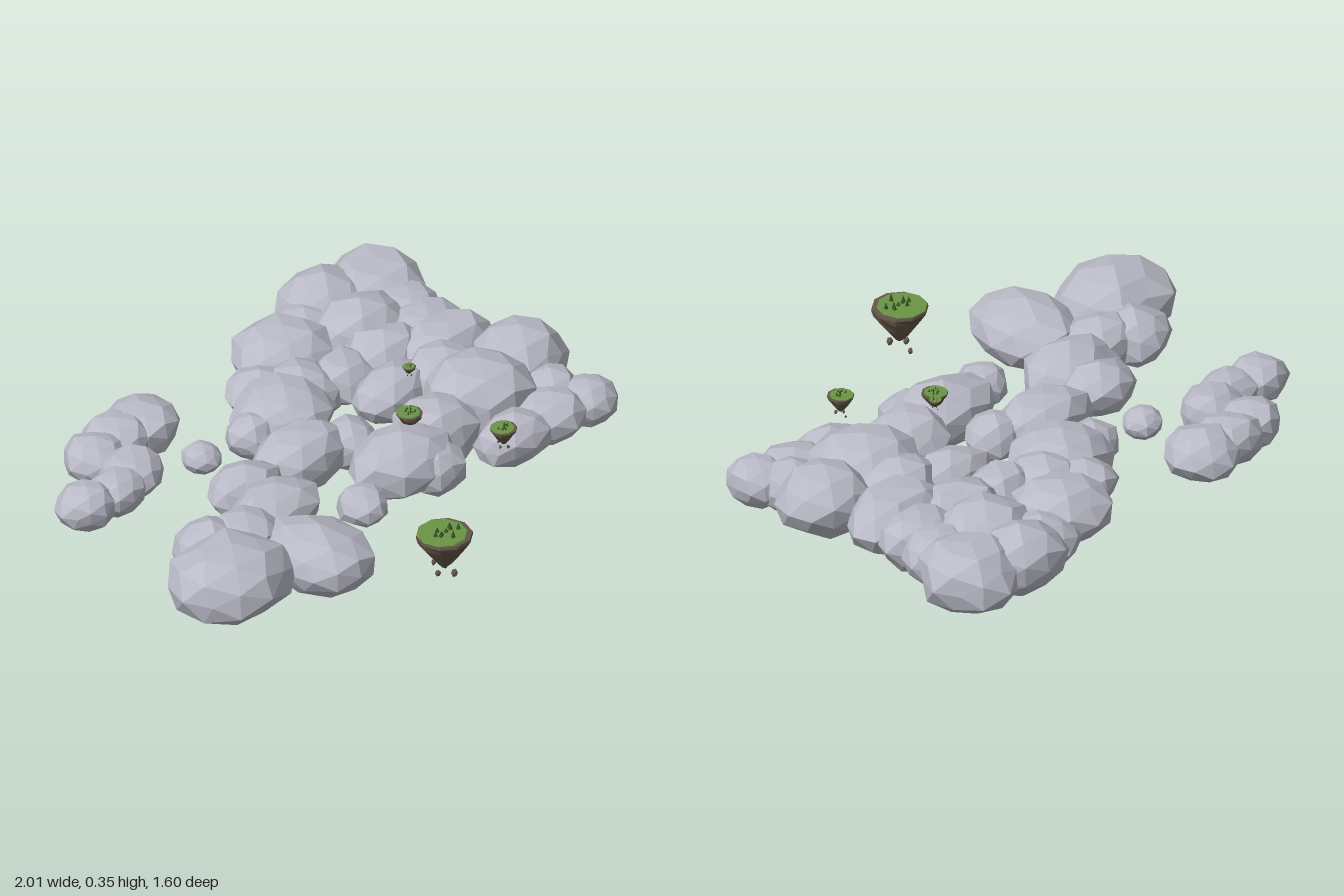
import * as THREE from 'three';

const mat = (name, color) => {
  const m = new THREE.MeshStandardMaterial({ color, flatShading: true });
  m.name = name;
  return m;
};

// Repeatable noise in -1..1
const noise = (a, b, c, s) => {
  const v = Math.sin(a * 12.99 + b * 78.23 + c * 37.72 + s * 4.17) * 43758.5453;
  return (v - Math.floor(v)) * 2 - 1;
};

// Faceted ball whose corners are pushed in or out a little
function lump(detail, amount, seed) {
  const g = new THREE.IcosahedronGeometry(1, detail);
  const p = g.attributes.position;
  const v = new THREE.Vector3();
  const q = (n) => Math.round(n * 50);
  for (let i = 0; i < p.count; i++) {
    v.fromBufferAttribute(p, i);
    v.multiplyScalar(1 + amount * noise(q(v.x), q(v.y), q(v.z), seed));
    p.setXYZ(i, v.x, v.y, v.z);
  }
  g.computeVertexNormals();
  return g;
}

// Puffs of each cloud: x, y, z, half width, half height, half depth
const CLOUDS = {
  westCloud: [
    [-0.78, 0.165, 0.31, 0.22, 0.135, 0.19], [-0.46, 0.145, 0.40, 0.165, 0.115, 0.215],
    [-0.68, 0.15, 0.12, 0.13, 0.1, 0.125], [-0.37, 0.15, 0.11, 0.19, 0.105, 0.125],
    [-0.35, 0.15, -0.05, 0.145, 0.095, 0.105], [-0.56, 0.15, 0.16, 0.14, 0.1, 0.12],
  ],
  middleCloud: [
    [-0.07, 0.145, -0.07, 0.19, 0.11, 0.13], [0.11, 0.14, -0.02, 0.105, 0.085, 0.1],
    [-0.09, 0.14, -0.28, 0.09, 0.075, 0.09], [0.07, 0.15, -0.29, 0.18, 0.115, 0.165],
    [0.12, 0.14, -0.45, 0.12, 0.085, 0.105], [0.21, 0.14, -0.35, 0.14, 0.1, 0.14],
    [-0.12, 0.13, 0.27, 0.09, 0.07, 0.09], [0.13, 0.155, 0.2, 0.2, 0.115, 0.145],
    [0.21, 0.13, 0.28, 0.11, 0.09, 0.1],
  ],
  northEastCloud: [
    [0.32, 0.16, -0.54, 0.175, 0.115, 0.165], [0.64, 0.15, -0.66, 0.175, 0.12, 0.145],
    [0.83, 0.145, -0.62, 0.17, 0.13, 0.18], [0.61, 0.16, -0.47, 0.18, 0.115, 0.14],
    [0.81, 0.14, -0.45, 0.12, 0.105, 0.13], [0.37, 0.15, -0.3, 0.12, 0.09, 0.11],
    [0.55, 0.14, -0.3, 0.17, 0.115, 0.13], [0.77, 0.14, -0.32, 0.145, 0.11, 0.13],
    [0.49, 0.13, -0.61, 0.14, 0.1, 0.13],
  ],
  eastCloud: [
    [0.73, 0.15, -0.18, 0.195, 0.12, 0.135], [0.42, 0.15, -0.12, 0.165, 0.1, 0.105],
    [0.6, 0.15, -0.06, 0.15, 0.12, 0.14], [0.6, 0.16, 0.1, 0.2, 0.15, 0.185],
    [0.84, 0.17, 0.05, 0.165, 0.125, 0.16], [0.36, 0.15, 0.14, 0.16, 0.125, 0.14],
    [0.54, 0.12, 0.32, 0.15, 0.09, 0.1], [0.72, 0.12, 0.31, 0.15, 0.095, 0.12],
    [0.86, 0.13, 0.34, 0.1, 0.085, 0.105], [0.8, 0.13, 0.23, 0.11, 0.095, 0.11],
  ],
  northWestCloud: [
    [-0.3, 0.14, -0.59, 0.13, 0.095, 0.13], [-0.42, 0.14, -0.58, 0.13, 0.09, 0.115],
    [-0.55, 0.14, -0.55, 0.115, 0.085, 0.11], [-0.53, 0.14, -0.395, 0.115, 0.085, 0.1],
    [-0.65, 0.14, -0.355, 0.115, 0.075, 0.095], [-0.78, 0.14, -0.365, 0.105, 0.08, 0.095],
    [-0.3, 0.14, -0.3, 0.07, 0.055, 0.07],
  ],
};

// Rocky cone from stacked uneven rings, closed above and below
function rockGeometry(r, h, seed) {
  const sides = 10;
  const rings = [[0.98, 0], [1, -0.08], [0.87, -0.28], [0.54, -0.62], [0.3, -0.85], [0.12, -1]];
  const pos = [], index = [];
  rings.forEach(([k, y], j) => {
    for (let i = 0; i < sides; i++) {
      const a = (i / sides) * Math.PI * 2;
      const n = j < 2 ? 0 : noise(i, j, 1, seed);
      const rr = r * k * (1 + 0.13 * n);
      pos.push(Math.cos(a) * rr, h * (y + 0.04 * n), Math.sin(a) * rr);
    }
  });
  for (let j = 0; j < rings.length - 1; j++) {
    for (let i = 0; i < sides; i++) {
      const a = j * sides + i, b = j * sides + ((i + 1) % sides);
      index.push(a, b, a + sides, b, b + sides, a + sides);
    }
  }
  const tip = pos.length / 3;
  pos.push(0, -h * 1.05, 0, 0, 0, 0);
  const base = (rings.length - 1) * sides;
  for (let i = 0; i < sides; i++) {
    const next = (i + 1) % sides;
    index.push(base + i, base + next, tip, next, i, tip + 1);
  }
  const g = new THREE.BufferGeometry();
  g.setAttribute('position', new THREE.Float32BufferAttribute(pos, 3));
  g.setIndex(index);
  const flat = g.toNonIndexed();
  flat.computeVertexNormals();
  return flat;
}

export function createModel() {
  const model = new THREE.Group();
  model.name = 'floatingIslands';
  const cloudGrey = mat('cloudGrey', 0xbabac7);
  const rockBrown = mat('rockBrown', 0x645749);
  const grassGreen = mat('grassGreen', 0x6b9644);
  const tuftGreen = mat('tuftGreen', 0x3a5629);

  const add = (parent, name, geometry, material, x, y, z) => {
    const m = new THREE.Mesh(geometry, material);
    m.name = name;
    m.position.set(x, y, z);
    parent.add(m);
    return m;
  };

  // Clouds
  let seed = 1;
  for (const [name, puffs] of Object.entries(CLOUDS)) {
    const cloud = new THREE.Group();
    cloud.name = name;
    for (const [x, y, z, rx, ry, rz] of puffs) {
      add(cloud, 'puff', lump(1, 0.08, seed++), cloudGrey, x, y, z).scale.set(rx, ry, rz);
    }
    model.add(cloud);
  }

  // Islands: x, top height, z, radius, depth
  const islands = [
    [-0.17, 0.234, 0.7, 0.096, 0.128], [0.41, 0.25, 0.4, 0.046, 0.062],
    [0.22, 0.284, 0.15, 0.045, 0.06], [0.342, 0.354, 0.028, 0.023, 0.028],
  ];
  islands.forEach(([x, y, z, r, h], n) => {
    const island = new THREE.Group();
    island.name = 'island';
    island.position.set(x, y, z);
    add(island, 'rock', rockGeometry(r, h, n + 3), rockBrown, 0, 0, 0);
    add(island, 'grass', new THREE.CylinderGeometry(r * 0.88, r * 0.9, r * 0.03, 10), grassGreen,
      -r * 0.06, r * 0.015, -r * 0.06).rotation.y = Math.PI / 2;
    // Grass tufts scattered around the middle
    for (let i = 0; i < 9; i++) {
      const a = i * 2.4 + noise(i, n, 5, 2);
      const d = r * 0.15 * Math.sqrt(i + 0.3) * (1 + 0.25 * noise(i, n, 7, 3));
      const t = r * (0.22 + 0.08 * noise(i, n, 2, 1));
      add(island, 'tuft', new THREE.ConeGeometry(r * 0.085, t, 5), tuftGreen,
        Math.cos(a) * d, r * 0.03 + t / 2, Math.sin(a) * d);
    }
    // Loose stones hanging below
    [[0.12, -0.36], [-0.3, 0.02], [0.1, 0.62]].forEach(([dx, dz], i) => {
      const s = r * (0.12 - 0.015 * i);
      add(island, 'looseStone', lump(0, 0.15, i + n), rockBrown, dx * r, -h * 1.13, -dz * r)
        .scale.set(s, s * 1.4, s);
    });
    model.add(island);
  });
  return model;
}
